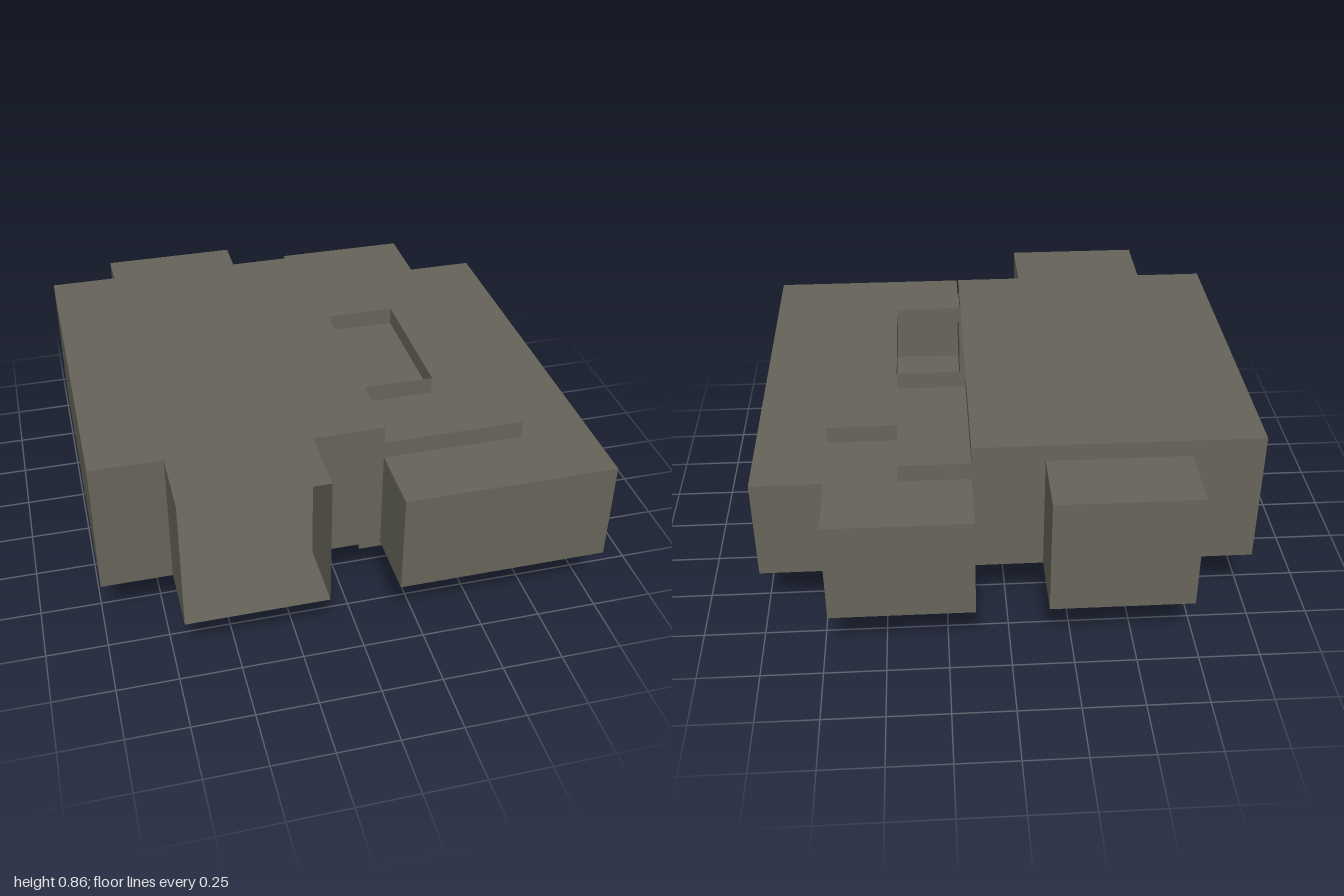
import * as THREE from 'three';

// Plan of the hollow shell, back row first, one letter per square cell.
// a, b, c: low, middle and high roof; S: open shaft with a raised rim; F: high, open at the front
const PLAN = [
  '.cc.aa.'.replace('cc', 'bb'),
  'ccccbaa',
  'ccccbba',
  'ccccSba',
  'ccccSba',
  'ccccbba',
  '.FF.aaa',
];
const CELL = 2 / 7;
const FLOOR = 4 / 14;
const HEIGHT = { '.': FLOOR, a: 10 / 14, b: 11 / 14, c: 12 / 14, S: 12 / 14, F: 12 / 14 };

const cellAt = (col, row) => (PLAN[row] && PLAN[row][col]) || '.';

// Collects flat quads (corners counter-clockwise from outside) into one mesh
function quadSet(name, material) {
  const points = [];
  return {
    add(a, b, c, d) { points.push(...a, ...b, ...c, ...a, ...c, ...d); },
    mesh() {
      const geometry = new THREE.BufferGeometry();
      geometry.setAttribute('position', new THREE.Float32BufferAttribute(points, 3));
      geometry.computeVertexNormals();
      const mesh = new THREE.Mesh(geometry, material);
      mesh.name = name;
      return mesh;
    },
  };
}

export function createModel() {
  const shell = new THREE.MeshStandardMaterial({ color: 0x666459, side: THREE.DoubleSide });
  shell.name = 'shell olive grey';
  const pale = new THREE.MeshStandardMaterial({ color: 0xc0c0c0, side: THREE.DoubleSide });
  pale.name = 'pale grey';

  const roof = quadSet('steppedRoof', shell);
  const walls = quadSet('outerWalls', shell);
  const floor = quadSet('floor', shell);
  const shaft = quadSet('shaftWalls', shell);
  const shaftEnd = quadSet('shaftEnd', pale);

  for (let row = 0; row < 7; row++) {
    for (let col = 0; col < 7; col++) {
      const cell = cellAt(col, row);
      if (cell === '.') continue;
      const top = HEIGHT[cell];
      const x0 = -1 + col * CELL, x1 = x0 + CELL;
      const z0 = -1 + row * CELL, z1 = z0 + CELL;

      // Roof, left open above the shaft
      if (cell !== 'S') roof.add([x0, top, z1], [x1, top, z1], [x1, top, z0], [x0, top, z0]);

      // Underside, dropped to the ground below the shaft
      const y = cell === 'S' ? 0 : FLOOR;
      (cell === 'S' ? shaftEnd : floor).add([x0, y, z0], [x1, y, z0], [x1, y, z1], [x0, y, z1]);

      // Upright faces wherever the neighbouring cell is lower
      const sides = [
        [0, 1, x0, z1, x1, z1],
        [1, 0, x1, z1, x1, z0],
        [0, -1, x1, z0, x0, z0],
        [-1, 0, x0, z0, x0, z1],
      ];
      for (const [dx, dz, ax, az, bx, bz] of sides) {
        const next = cellAt(col + dx, row + dz);
        const low = HEIGHT[next];
        const openFront = cell === 'F' && dz === 1;
        if (top > low && !openFront) {
          walls.add([ax, low, az], [bx, low, bz], [bx, top, bz], [ax, top, az]);
        }
        if (cell === 'S' && next !== 'S') {
          shaft.add([ax, 0, az], [bx, 0, bz], [bx, FLOOR, bz], [ax, FLOOR, az]);
        }
      }
    }
  }

  const group = new THREE.Group();
  group.name = 'steppedHollowBlock';
  for (const part of [roof, walls, floor, shaft, shaftEnd]) group.add(part.mesh());
  return group;
}
